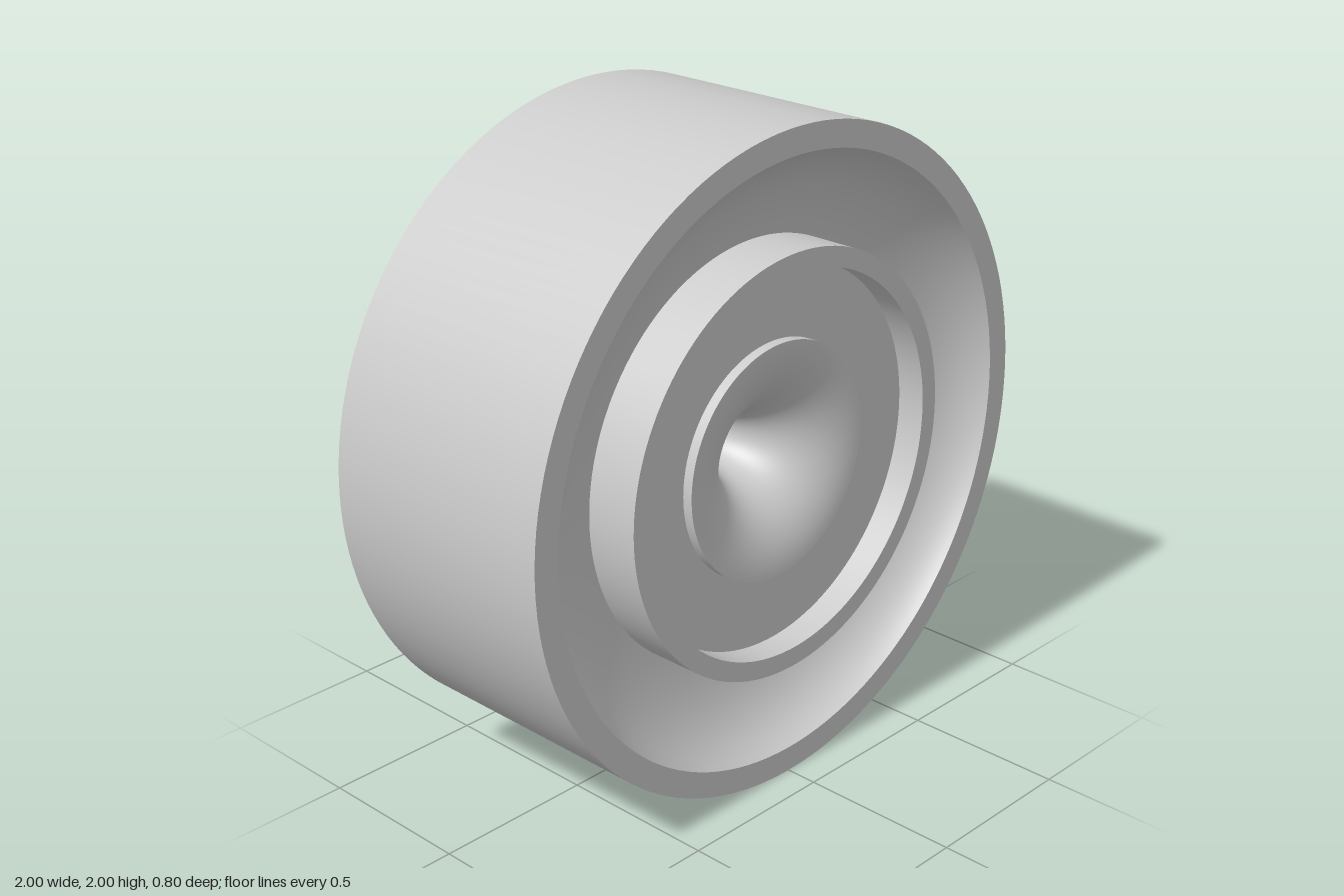
import * as THREE from 'three';

const MAT = new THREE.MeshStandardMaterial({ color: 0xcccccc });
const THIN = new THREE.MeshStandardMaterial({ color: 0xcccccc, side: THREE.DoubleSide });
const H = 0.066;        // half height of the channel, also the throat radius
const BACK = -0.4, FRONT = 0.4, ROOF = -0.205, CORNER = 0.05, LID = -0.365;
const END = 0.997;      // channel end, just under the side wall

const v = (r, z) => new THREE.Vector2(r, z);

export function createModel() {
  const model = new THREE.Group();
  const body = new THREE.Group();
  body.name = 'body';
  body.position.y = 1;
  model.add(body);

  const add = (name, geometry, material = MAT) => {
    const mesh = new THREE.Mesh(geometry, material);
    mesh.name = name;
    body.add(mesh);
    return mesh;
  };
  // Surface of revolution about z; profile points are (radius, z)
  const turn = (name, points, start = 0, length = Math.PI * 2, segments = 128) =>
    add(name, new THREE.LatheGeometry(points, segments, start, length).rotateX(Math.PI / 2));
  // Strip with section points (z, y) running from x0 to x1
  const strip = (name, points, x0, x1) => {
    const g = new THREE.PlaneGeometry(1, 1, points.length - 1, 1);
    const p = g.attributes.position;
    for (let i = 0; i < p.count; i++) {
      const s = points[i % points.length];
      p.setXYZ(i, i < points.length ? x0 : x1, s.y, s.x);
    }
    g.computeVertexNormals();
    add(name, g, THIN);
  };

  // Outer wall, leaving a narrow gap on the left for the port panel
  const gap = Math.asin(0.08);
  turn('outerWall', [v(1, BACK), v(1, FRONT)], Math.PI / 2 + gap, Math.PI * 2 - 2 * gap);

  // Port panel with a rounded opening, bent onto the wall
  const panel = new THREE.Shape([v(-0.4, -0.08), v(0.4, -0.08), v(0.4, 0.08), v(-0.4, 0.08)]);
  const port = new THREE.Path();
  const inner = H - CORNER;
  port.absarc(-LID - CORNER, inner, CORNER, 0, Math.PI / 2);
  port.absarc(-ROOF + CORNER, inner, CORNER, Math.PI / 2, Math.PI);
  port.absarc(-ROOF + CORNER, -inner, CORNER, Math.PI, Math.PI * 1.5);
  port.absarc(-LID - CORNER, -inner, CORNER, Math.PI * 1.5, Math.PI * 2);
  panel.holes.push(port);
  const panelGeo = new THREE.ShapeGeometry(panel, 10).rotateY(Math.PI / 2);
  const pos = panelGeo.attributes.position;
  for (let i = 0; i < pos.count; i++) {
    const y = pos.getY(i), x = Math.sqrt(1 - y * y);
    pos.setX(i, x);
    panelGeo.attributes.normal.setXYZ(i, x, y, 0);
  }
  add('portPanel', panelGeo);

  // Front: rim, dished bowl, raised ring, floor and lip
  turn('frontRim', [v(1, FRONT), v(0.92, FRONT)]);
  const dish = new THREE.QuadraticBezierCurve(v(0.92, FRONT), v(0.86, 0.265), v(0.645, 0.23));
  turn('bowl', dish.getPoints(20));
  turn('ringOuterWall', [v(0.645, 0.23), v(0.645, FRONT)]);
  turn('ringFace', [v(0.645, FRONT), v(0.585, FRONT)]);
  turn('ringInnerWall', [v(0.585, FRONT), v(0.585, 0.31)]);
  turn('floor', [v(0.585, 0.31), v(0.3625, 0.31)]);
  turn('hornLip', [v(0.3625, 0.31), v(0.3625, 0.342)]);

  // Flared horn narrowing into a straight throat
  const depth = 0.33, flare = [];
  for (let i = 0; i <= 28; i++) {
    const a = (1 - i / 28) * Math.PI / 2;
    flare.push(v(0.3625 - (0.3625 - H) * Math.cos(a), 0.342 - depth + depth * Math.sin(a)));
  }
  flare.push(v(H, ROOF));
  turn('horn', flare);
  turn('throatEnd', [v(H, ROOF), v(H, BACK)], Math.PI, Math.PI, 32);

  // Back plate with the long slot
  const disc = new THREE.Shape().absarc(0, 0, 1, 0, Math.PI * 2);
  const slot = new THREE.Path();
  slot.moveTo(-END, -H);
  slot.lineTo(0, -H);
  slot.absarc(0, 0, H, -Math.PI / 2, Math.PI / 2);
  slot.lineTo(-END, H);
  disc.holes.push(slot);
  add('backPlate', new THREE.ShapeGeometry(disc, 64).rotateY(Math.PI)).position.z = BACK;

  // Channel running from the throat to the side port, with a rounded roof
  const section = [v(BACK, -H)];
  for (const side of [-1, 1]) {
    for (let i = 0; i <= 8; i++) {
      const a = (side < 0 ? i : 8 - i) / 8 * Math.PI / 2;
      section.push(v(ROOF - CORNER + CORNER * Math.sin(a), side * (inner + CORNER * Math.cos(a))));
    }
  }
  section.push(v(BACK, H));
  strip('channel', section, H, END);
  for (const side of [-1, 1]) strip('channelStartWall', [v(BACK, side * H), v(ROOF, side * H)], 0, H);

  // Roof corners beside the round throat
  const corners = new THREE.Shape();
  corners.moveTo(0, -H);
  corners.lineTo(H, -H);
  corners.lineTo(H, H);
  corners.lineTo(0, H);
  corners.absarc(0, 0, H, Math.PI / 2, -Math.PI / 2, true);
  add('channelRoofCorners', new THREE.ShapeGeometry(corners, 16), THIN).position.z = ROOF;

  // Bridges closing the slot between the back windows
  const web = new THREE.Shape();
  web.moveTo(-BACK, -H);
  web.lineTo(-BACK, H);
  web.lineTo(-LID - CORNER, H);
  web.absarc(-LID - CORNER, inner, CORNER, Math.PI / 2, 0, true);
  web.absarc(-LID - CORNER, -inner, CORNER, 0, -Math.PI / 2, true);
  for (const [x0, x1] of [[0.065, 0.158], [0.345, 0.437], [0.625, 0.716], [0.904, END]]) {
    const g = new THREE.ExtrudeGeometry(web, { depth: x1 - x0, bevelEnabled: false, curveSegments: 8 });
    add('slotBridge', g.rotateY(Math.PI / 2)).position.x = x0;
  }
  return model;
}
